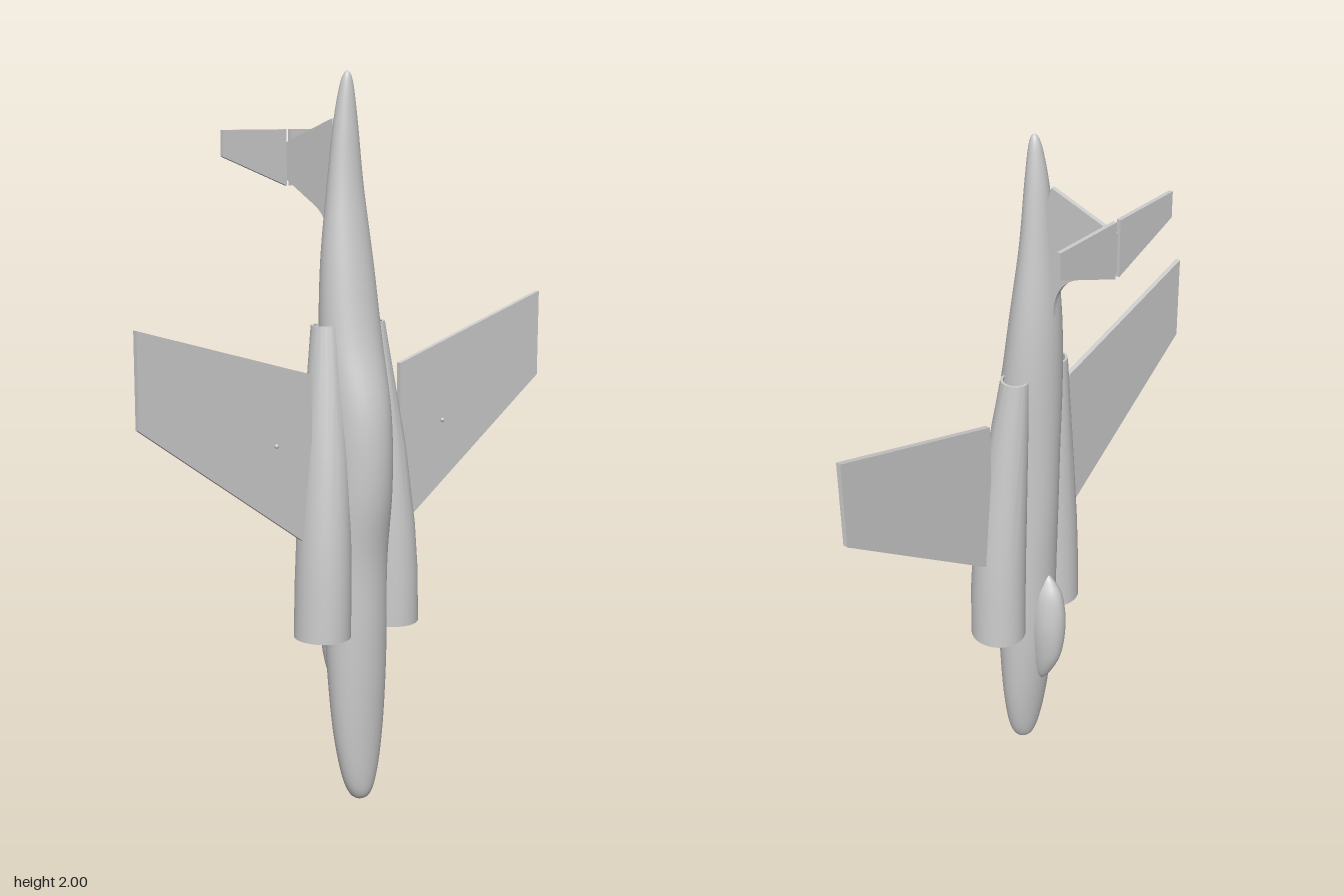
import * as THREE from 'three';
import { toCreasedNormals } from 'three/addons/utils/BufferGeometryUtils.js';

const SIDES = 40;

// Skins elliptical rings; each section is [y, centreX, centreZ, radiusX, radiusZ]
function loft(sections) {
  const pos = [], index = [];
  sections.forEach(([y, cx, cz, rx, rz], i) => {
    for (let j = 0; j < SIDES; j++) {
      const a = (j / SIDES) * Math.PI * 2;
      pos.push(cx + rx * Math.sin(a), y, cz + rz * Math.cos(a));
      if (i === 0) continue;
      const k = (j + 1) % SIDES, lo = (i - 1) * SIDES, hi = i * SIDES;
      index.push(lo + j, lo + k, hi + k, lo + j, hi + k, hi + j);
    }
  });
  const geo = new THREE.BufferGeometry();
  geo.setAttribute('position', new THREE.Float32BufferAttribute(pos, 3));
  geo.setIndex(index);
  geo.computeVertexNormals();
  return geo;
}

// Closed body from a side profile: rows of [y, halfWidth, backZ, bellyZ], smoothed
function body(rows, steps) {
  const size = new THREE.CatmullRomCurve3(rows.map(([y, w]) => new THREE.Vector3(y, w, 0)), false, 'catmullrom');
  const edge = new THREE.CatmullRomCurve3(rows.map(([y, , b, f]) => new THREE.Vector3(y, b, f)), false, 'catmullrom');
  const sections = [];
  for (let i = 0; i <= steps; i++) {
    const s = size.getPoint(i / steps), e = edge.getPoint(i / steps);
    sections.push([s.x, 0, (e.y + e.z) / 2, Math.max(s.y, 0), Math.max((e.z - e.y) / 2, 0)]);
  }
  return loft(sections);
}

// Flat plate centred on its own plane
function plate(shape, thickness) {
  const geo = new THREE.ExtrudeGeometry(shape, { depth: thickness, bevelEnabled: false, curveSegments: 10 });
  return geo.translate(0, 0, -thickness / 2);
}

const outline = (points) => new THREE.Shape(points.map(([x, y]) => new THREE.Vector2(x, y)));

export function createModel() {
  const model = new THREE.Group();
  model.name = 'jetAircraft';
  const grey = new THREE.MeshStandardMaterial({ color: 0xcccccc });
  grey.name = 'light grey';

  const add = (name, geo, x = 0, y = 0, z = 0) => {
    const mesh = new THREE.Mesh(geo, grey);
    mesh.name = name;
    mesh.position.set(x, y, z);
    model.add(mesh);
    return mesh;
  };

  // Fuselage, nose at the bottom and tail at the top
  add('fuselage', body([
    [0, 0, 0.115, 0.115],
    [0.02, 0.03, 0.087, 0.143],
    [0.08, 0.054, 0.068, 0.155],
    [0.2, 0.075, 0.048, 0.163],
    [0.35, 0.086, 0.03, 0.17],
    [0.5, 0.09, 0.018, 0.174],
    [0.7, 0.09, 0.01, 0.178],
    [0.9, 0.09, 0, 0.202],
    [1.1, 0.09, -0.006, 0.196],
    [1.3, 0.088, -0.01, 0.15],
    [1.5, 0.076, -0.009, 0.118],
    [1.7, 0.053, 0.004, 0.09],
    [1.86, 0.035, 0.018, 0.078],
    [1.95, 0.021, 0.032, 0.071],
    [1.987, 0.011, 0.043, 0.065],
    [2, 0, 0.055, 0.055],
  ], 90));

  // Cockpit canopy
  add('canopy', body([
    [0.27, 0, 0.04, 0.04],
    [0.31, 0.022, 0.01, 0.06],
    [0.39, 0.038, -0.026, 0.07],
    [0.5, 0.046, -0.04, 0.07],
    [0.6, 0.037, -0.032, 0.07],
    [0.65, 0.02, -0.008, 0.06],
    [0.68, 0, 0.02, 0.02],
  ], 36));

  // Hollow engine nacelles: outer skin, lip, then inner skin
  const skin = 0.007;
  const stations = [
    [0.5, 0.122, 0.1, 0.076, 0.08],
    [0.65, 0.119, 0.1, 0.075, 0.08],
    [0.78, 0.114, 0.097, 0.072, 0.077],
    [1.0, 0.101, 0.087, 0.061, 0.067],
    [1.2, 0.088, 0.071, 0.047, 0.051],
    [1.34, 0.08, 0.06, 0.036, 0.04],
  ];
  const inner = stations.map(([y, cx, cz, rx, rz]) => [y, cx, cz, rx - skin, rz - skin]).reverse();
  for (const [side, s] of [['left', 1], ['right', -1]]) {
    const rings = [...stations, ...inner, stations[0]].map(([y, cx, ...rest]) => [y, s * cx, ...rest]);
    add(side + 'Nacelle', toCreasedNormals(loft(rings), 0.6));

    // Swept wing
    const wing = outline([[0.155, 0.754], [0.69, 1.135], [0.69, 1.38], [0.155, 1.22]].map(([x, y]) => [s * x, y]));
    add(side + 'Wing', plate(wing, 0.014), 0, 0, 0.091);

    // Tiny stud beneath the wing
    add(side + 'WingStud', new THREE.SphereGeometry(0.006, 10, 8), s * 0.29, 1.05, 0.123);

    // Half of the high tailplane
    const half = outline([[0.007, 1.693], [0.22, 1.775], [0.22, 1.845], [0.007, 1.845]].map(([x, y]) => [s * x, y]));
    add(side + 'Tailplane', plate(half, 0.011), 0, 0, -0.201);
  }

  // Tail fin with a curved leading fillet, turned so its shape x runs towards the back
  const fin = new THREE.Shape();
  fin.moveTo(-0.02, 1.5);
  fin.lineTo(0.008, 1.52);
  fin.quadraticCurveTo(0.01, 1.61, 0.075, 1.645);
  fin.lineTo(0.2, 1.71);
  fin.lineTo(0.2, 1.81);
  fin.lineTo(0.003, 1.875);
  fin.lineTo(-0.025, 1.78);
  add('tailFin', plate(fin, 0.012).rotateY(Math.PI / 2));

  return model;
}
